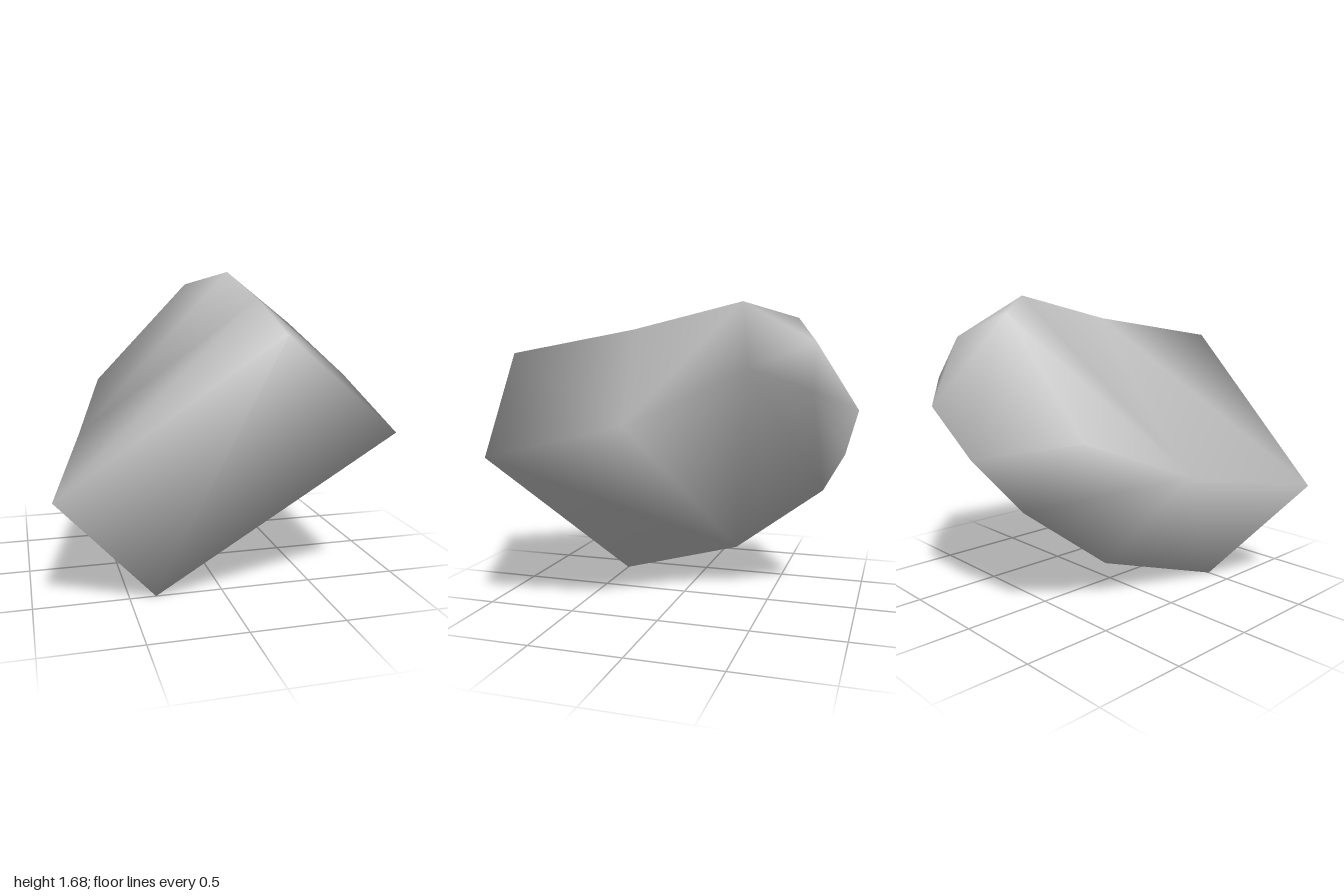
import * as THREE from 'three';

// Corners of the shell, from the flat front to the rounded back
const CORNERS = [
  // 0-3 flat front: lower, right, upper, left
  [-0.36, 0, 0.5], [0.82, 0.89, 0.81], [0.16, 1.41, 1.0], [-0.89, 0.62, 0.71],
  // 4-7 middle, where the upper wall dips
  [-0.24, 0.23, -0.26], [0.88, 1.08, 0.04], [0.28, 1.54, 0.2], [-0.69, 0.77, -0.08],
  // 8-11 shoulders
  [-0.2, 0.62, -0.78], [0.74, 1.35, -0.53], [0.28, 1.68, -0.4], [-0.51, 1.0, -0.65],
  // 12-16 rounded back end
  [0.04, 0.87, -0.92], [0.26, 1.13, -1.0], [0.52, 1.24, -0.8],
  [0.33, 1.47, -0.79], [0.07, 1.6, -0.66],
];

function shellGeometry() {
  const index = [];
  const polygon = (...ids) => {
    for (let i = 1; i < ids.length - 1; i++) index.push(ids[0], ids[i], ids[i + 1]);
  };

  // flat front
  polygon(0, 1, 2, 3);

  // four walls from the front to the middle
  for (let a = 0; a < 4; a++) {
    const b = (a + 1) % 4;
    polygon(a + 4, b + 4, b, a);
  }

  // lower, right, left and upper walls from the middle to the shoulders
  polygon(4, 8, 9, 5);
  polygon(5, 9, 10, 6);
  polygon(7, 11, 8, 4);
  polygon(7, 6, 10, 16, 11);

  // shoulders
  polygon(8, 12, 14, 9);
  polygon(12, 13, 14);
  polygon(15, 10, 9, 14);
  polygon(10, 15, 16);
  polygon(11, 12, 8);

  // rounded back end
  polygon(16, 15, 13, 12, 11);
  polygon(15, 14, 13);

  const geometry = new THREE.BufferGeometry();
  geometry.setAttribute('position', new THREE.Float32BufferAttribute(CORNERS.flat(), 3));
  geometry.setIndex(index);
  geometry.computeVertexNormals();
  return geometry;
}

export function createModel() {
  const group = new THREE.Group();
  const grey = new THREE.MeshStandardMaterial({ color: 0xbfbfbf });
  grey.name = 'light grey';
  const shell = new THREE.Mesh(shellGeometry(), grey);
  shell.name = 'roundedShell';
  group.add(shell);
  return group;
}
